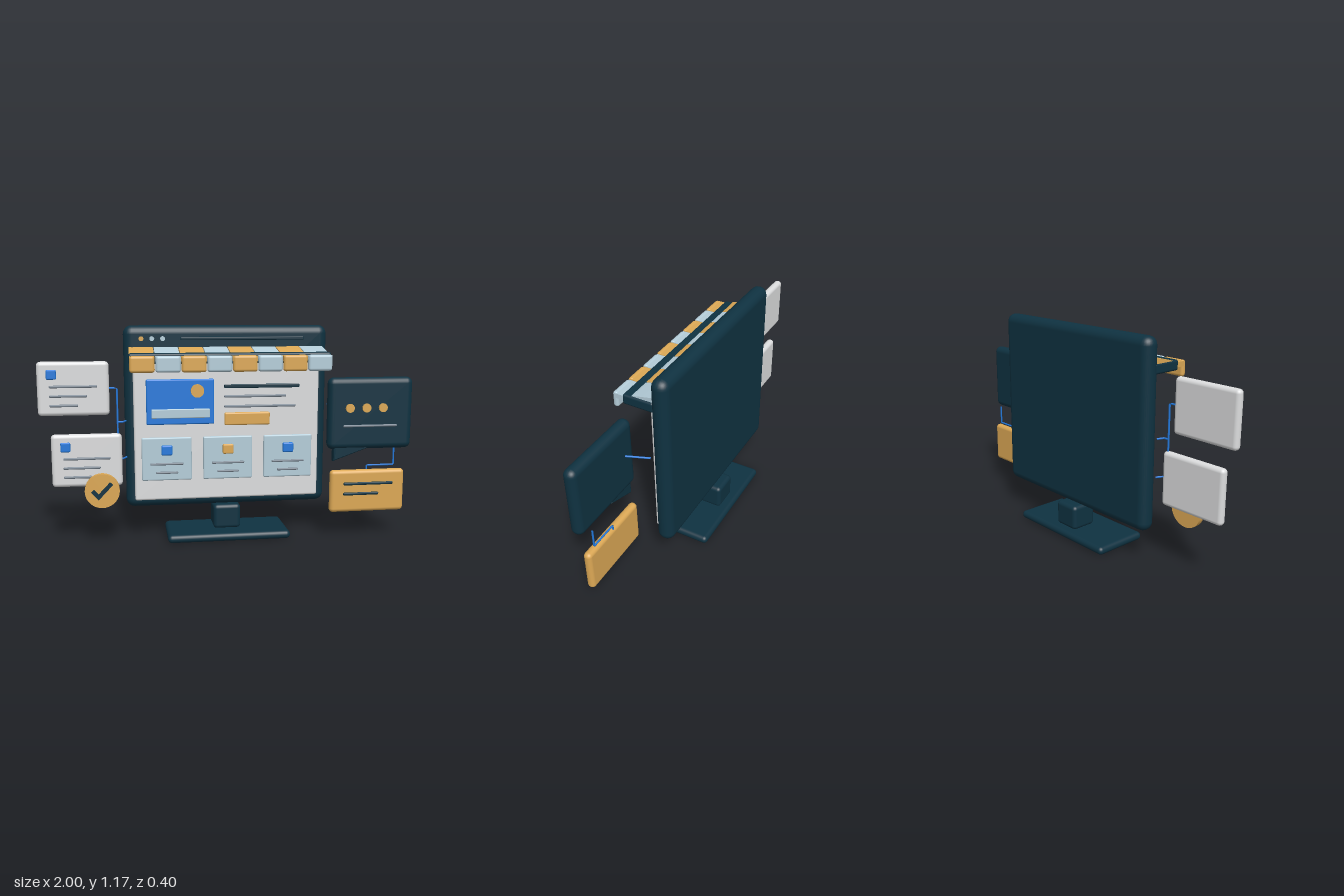
import * as THREE from 'three';
import { RoundedBoxGeometry } from 'three/addons/geometries/RoundedBoxGeometry.js';

const mat = (name, color) => {
  const m = new THREE.MeshStandardMaterial({ color });
  m.name = name;
  return m;
};

export function createModel() {
  const navy = mat('navy', 0x0f3241);
  const white = mat('offWhite', 0xdcddde);
  const orange = mat('orange', 0xdca855);
  const pale = mat('paleBlue', 0xb4cdd9);
  const blue = mat('blue', 0x2379dc);
  const grey = mat('grey', 0x7a8692);

  const model = new THREE.Group();
  model.name = 'onlineShopDisplay';

  const add = (name, geo, material, parent = model) => {
    const mesh = new THREE.Mesh(geo, material);
    mesh.name = name;
    parent.add(mesh);
    return mesh;
  };
  // Rounded slab given by its limits on each axis
  const slab = (name, [x0, x1], [y0, y1], [z0, z1], r, material, parent) => {
    const w = x1 - x0, h = y1 - y0, d = z1 - z0;
    const radius = Math.min(r, w * 0.49, h * 0.49, d * 0.49);
    const geo = new RoundedBoxGeometry(w, h, d, 3, radius);
    geo.translate((x0 + x1) / 2, (y0 + y1) / 2, (z0 + z1) / 2);
    return add(name, geo, material, parent);
  };
  // Thin horizontal line of placeholder text
  const line = (name, x0, x1, y, z, h, material, parent) =>
    slab(name, [x0, x1], [y - h / 2, y + h / 2], [z - 0.004, z + 0.009], 0.005, material, parent);
  // Disc facing the front
  const disc = (name, x, y, r, [z0, z1], material, sides = 32, parent = model) => {
    const geo = new THREE.CylinderGeometry(r, r, z1 - z0, sides);
    geo.rotateX(Math.PI / 2).translate(x, y, (z0 + z1) / 2);
    return add(name, geo, material, parent);
  };
  // Wire through straight segments
  const wire = (name, points, r = 0.005) => {
    const path = new THREE.CurvePath();
    const v = points.map((p) => new THREE.Vector3(...p));
    for (let i = 1; i < v.length; i++) path.add(new THREE.LineCurve3(v[i - 1], v[i]));
    return add(name, new THREE.TubeGeometry(path, (v.length - 1) * 12, r, 8), blue);
  };

  // Monitor, stand and screen
  slab('monitorBody', [-0.55, 0.567], [0.175, 1.17], [-0.115, -0.021], 0.046, navy);
  slab('neck', [-0.07, 0.083], [0.04, 0.178], [-0.15, 0], 0.022, navy);
  slab('base', [-0.332, 0.345], [0, 0.045], [-0.2, 0.112], 0.022, navy);
  slab('screen', [-0.503, 0.517], [0.22, 1.03], [-0.03, 0.004], 0.012, white);

  // Title bar
  [orange, pale, pale].forEach((m, i) =>
    disc('windowButton', -0.455 + i * 0.057, 1.1, 0.013, [-0.025, -0.006], m, 12));
  line('addressBar', -0.245, 0.43, 1.1, -0.02, 0.018, navy);

  // Awning: sloping strips, front flaps and the bar that carries them
  const awning = new THREE.Group();
  awning.name = 'awning';
  model.add(awning);
  const top = [[-0.025, 1.056], [0.03, 1.045], [0.08, 1.034], [0.11, 1.024], [0.14, 1.016], [0.19, 1.016]];
  const profile = new THREE.Shape();
  top.forEach(([z, y], i) => (i ? profile.lineTo(-z, y) : profile.moveTo(-z, y)));
  [...top].reverse().forEach(([z, y]) => profile.lineTo(-z, y - 0.026));
  const pitch = 0.1327;
  for (let i = 0; i < 8; i++) {
    const x0 = -0.522 + i * pitch, x1 = x0 + pitch - 0.004;
    const m = i % 2 ? pale : orange;
    const geo = new THREE.ExtrudeGeometry(profile, { depth: x1 - x0, bevelEnabled: false });
    geo.rotateY(Math.PI / 2).translate(x0, 0, 0);
    add('awningStrip', geo, m, awning);
    slab('awningFlap', [x0, x1], [0.935, 1.02], [0.17, 0.2], 0.014, m, awning);
  }
  slab('awningBar', [-0.526, 0.545], [0.975, 1.03], [-0.03, 0.138], 0.012, navy, awning);

  // Banner picture with sun and ground strip
  slab('banner', [-0.435, -0.068], [0.64, 0.885], [0, 0.02], 0.008, blue);
  disc('bannerSun', -0.16, 0.822, 0.036, [0.015, 0.034], orange, 24);
  slab('bannerStrip', [-0.408, -0.092], [0.675, 0.725], [0.015, 0.027], 0.005, pale);

  // Headline, text and button
  line('headline', -0.012, 0.405, 0.843, 0.006, 0.021, navy);
  line('textLine', -0.012, 0.33, 0.788, 0.006, 0.014, grey);
  line('textLine', -0.012, 0.385, 0.733, 0.006, 0.014, grey);
  slab('button', [-0.012, 0.24], [0.63, 0.7], [0, 0.022], 0.009, orange);

  // Three product cards
  [-0.328, 0.007, 0.342].forEach((x, i) => {
    const card = new THREE.Group();
    card.name = 'productCard';
    model.add(card);
    slab('cardPanel', [x - 0.136, x + 0.136], [0.333, 0.57], [0, 0.019], 0.008, pale, card);
    slab('cardIcon', [x - 0.03, x + 0.03], [0.474, 0.528], [0.015, 0.035], 0.008, i === 1 ? orange : blue, card);
    line('cardLine', x - 0.09, x + 0.09, 0.425, 0.02, 0.012, grey, card);
    line('cardLine', x - 0.06, x + 0.06, 0.377, 0.02, 0.012, grey, card);
  });

  // Two floating note cards beside the screen
  [[0, 0], [0.06, -0.385]].forEach(([dx, dy]) => {
    const note = new THREE.Group();
    note.name = 'noteCard';
    note.position.set(dx, dy, 0);
    model.add(note);
    slab('notePanel', [-1, -0.628], [0.7, 0.985], [-0.01, 0.034], 0.021, white, note);
    slab('noteIcon', [-0.95, -0.898], [0.893, 0.944], [0.03, 0.045], 0.007, blue, note);
    [-0.69, -0.743, -0.79].forEach((x1, i) =>
      line('noteLine', -0.937, x1, 0.855 - i * 0.05, 0.034, 0.013, grey, note));
  });

  // Check badge
  disc('badge', -0.677, 0.301, 0.092, [0.055, 0.085], orange, 40);
  const check = new THREE.Shape(
    [[-0.735, 0.297], [-0.721, 0.311], [-0.697, 0.284], [-0.635, 0.349], [-0.62, 0.335], [-0.697, 0.254]]
      .map((p) => new THREE.Vector2(...p)));
  add('checkMark', new THREE.ExtrudeGeometry(check, { depth: 0.013, bevelEnabled: false }).translate(0, 0, 0.083), navy);

  // Speech bubble with tail
  slab('speechBubble', [0.53, 1], [0.505, 0.895], [0.1, 0.17], 0.034, navy);
  const tail = new THREE.Shape([[0.572, 0.452], [0.74, 0.51], [0.65, 0.54], [0.575, 0.53]]
    .map((p) => new THREE.Vector2(...p)));
  add('bubbleTail', new THREE.ExtrudeGeometry(tail, {
    depth: 0.026, bevelThickness: 0.012, bevelSize: 0.01, bevelSegments: 2,
  }).translate(0, 0, 0.122), navy);
  for (let i = 0; i < 3; i++) disc('bubbleDot', 0.645 + i * 0.092, 0.732, 0.024, [0.165, 0.181], orange, 16);
  line('bubbleLine', 0.61, 0.91, 0.635, 0.17, 0.012, grey);

  // Message card
  slab('messageCard', [0.562, 0.985], [0.143, 0.38], [0.08, 0.125], 0.021, orange);
  line('messageLine', 0.635, 0.915, 0.305, 0.126, 0.015, navy);
  line('messageLine', 0.635, 0.835, 0.248, 0.126, 0.015, navy);

  // Connecting wires
  wire('leftWire', [[-0.64, 0.842, 0.01], [-0.588, 0.842, 0.01], [-0.588, 0.46, 0.01]]);
  wire('leftWireUpperBranch', [[-0.588, 0.66, 0.01], [-0.56, 0.66, 0.01], [-0.545, 0.66, -0.03]]);
  wire('leftWireLowerBranch', [[-0.588, 0.46, 0.01], [-0.562, 0.46, 0.005], [-0.545, 0.46, -0.03]]);
  wire('bubbleWire', [[0.577, 0.732, -0.026], [0.622, 0.732, 0.09]]);
  wire('messageWire', [[0.93, 0.51, 0.09], [0.93, 0.4, 0.09], [0.775, 0.4, 0.09], [0.775, 0.375, 0.09]]);

  return model;
}
